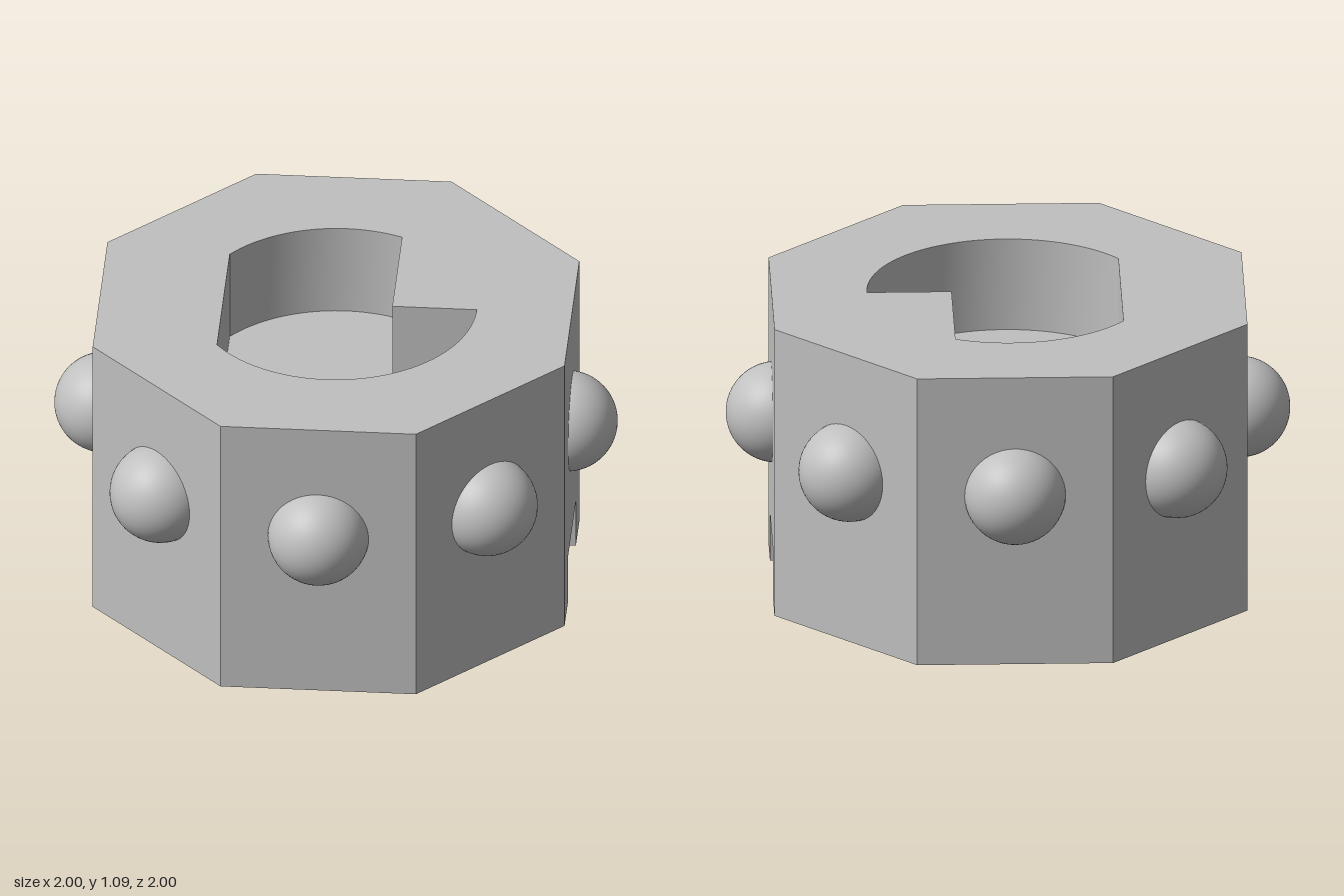
import * as THREE from 'three';
import { mergeGeometries, toCreasedNormals } from 'three/addons/utils/BufferGeometryUtils.js';

const HEIGHT = 1.09, FLOOR = 0.745;         // body top, pocket floor
const A = 0.838, B = 0.347;                 // octagon apothem, half side
const SLOT_W = 0.185, SLOT_H = 0.187;       // slot half width, height

// Plan outlines are counter-clockwise in (x, -z).
const shapeOf = (pts) => new THREE.Shape(pts.map(([x, y]) => new THREE.Vector2(x, y)));

// Horizontal face, facing up or down.
function cap(shape, y, up = true) {
  const g = new THREE.ShapeGeometry(shape).rotateX(-Math.PI / 2).translate(0, y, 0);
  if (!up) g.index.array.reverse();
  const flat = g.toNonIndexed();
  flat.deleteAttribute('uv');
  flat.deleteAttribute('normal');
  return flat;
}

// Vertical walls around a closed outline, facing outward.
function walls(pts, y0, y1) {
  const pos = [];
  pts.forEach(([ax, ay], i) => {
    const [bx, by] = pts[(i + 1) % pts.length];
    pos.push(ax, y0, -ay, bx, y0, -by, bx, y1, -by);
    pos.push(ax, y0, -ay, bx, y1, -by, ax, y1, -ay);
  });
  const g = new THREE.BufferGeometry();
  g.setAttribute('position', new THREE.Float32BufferAttribute(pos, 3));
  return g;
}

// Round pocket with one flat side and one square key.
function pocketOutline() {
  const r = 0.5, pts = [[0.2, 0]];
  const arc = (from, to, n) => {
    for (let i = 0; i <= n; i++) {
      const t = from + ((to - from) * i) / n;
      pts.push([r * Math.cos(t), r * Math.sin(t)]);
    }
  };
  const flat = Math.acos(-0.8);
  arc(Math.acos(0.4), flat, 24);
  arc(-flat, 0, 48);
  return pts;
}

function bodyGeometry() {
  const octagon = [[A, -B], [A, B], [B, A], [-B, A], [-A, B], [-A, -B], [-B, -A], [B, -A]];
  const foot = [[A, SLOT_W], [A, B], [B, A], [-B, A], [-A, B], [-A, SLOT_W]];
  const feet = [foot, foot.map(([x, y]) => [-x, -y])];
  const slot = [[-A, -SLOT_W], [A, -SLOT_W], [A, SLOT_W], [-A, SLOT_W]];
  const pocket = pocketOutline();

  const top = shapeOf(octagon);
  top.holes.push(shapeOf(pocket));

  const parts = [
    cap(top, HEIGHT),
    walls(octagon, SLOT_H, HEIGHT),
    walls([...pocket].reverse(), FLOOR, HEIGHT),
    cap(shapeOf(pocket), FLOOR),
    cap(shapeOf(slot), SLOT_H, false),
  ];
  // The two feet either side of the slot
  for (const f of feet) parts.push(walls(f, 0, SLOT_H), cap(shapeOf(f), 0, false));

  const merged = mergeGeometries(parts);
  merged.computeVertexNormals();
  return toCreasedNormals(merged, 0.4);
}

export function createModel() {
  const group = new THREE.Group();
  group.name = 'studdedOctagonalNut';
  const grey = new THREE.MeshStandardMaterial({ color: 0xc0c0c0 });
  grey.name = 'grey';

  const body = new THREE.Mesh(bodyGeometry(), grey);
  body.name = 'body';
  group.add(body);

  // One domed stud on each side face
  const dome = new THREE.SphereGeometry(0.18, 48, 16, 0, Math.PI * 2, 0, Math.PI / 2)
    .rotateX(Math.PI / 2).translate(0, 0.64, 0.82);
  for (let i = 0; i < 8; i++) {
    const stud = new THREE.Mesh(dome, grey);
    stud.name = `stud${i + 1}`;
    stud.rotation.y = (i * Math.PI) / 4;
    group.add(stud);
  }
  return group;
}
